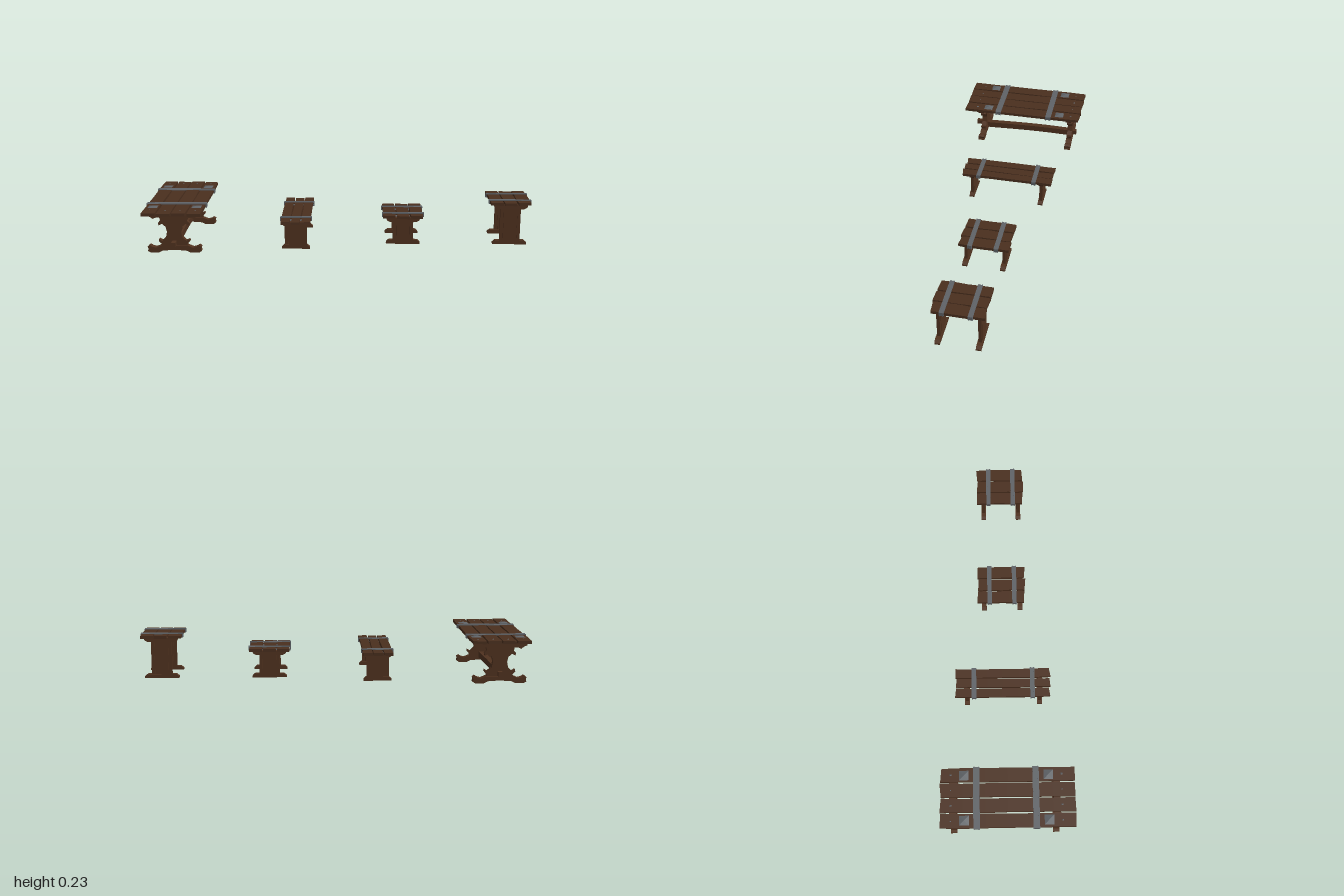
import * as THREE from 'three';

const mat = (name, color) => Object.assign(new THREE.MeshStandardMaterial({ color, flatShading: true }), { name });

export function createModel() {
  const wood = mat('dark wood', 0x4a2f1e);
  const legWood = mat('leg wood', 0x50321f);
  const iron = mat('iron', 0x5f6367);
  const root = new THREE.Group();
  root.name = 'furnitureSet';

  let seed = 7;
  const rand = () => (seed = (seed * 16807) % 2147483647) / 2147483647;

  function add(parent, name, geometry, material, x = 0, y = 0, z = 0) {
    const mesh = new THREE.Mesh(geometry, material);
    mesh.name = name;
    mesh.position.set(x, y, z);
    parent.add(mesh);
    return mesh;
  }

  // Extrude a right-hand half outline, mirrored in x, centred on z
  function mirrored(half, depth) {
    const pts = [...half, ...half.slice().reverse().map(([x, y]) => [-x, y])];
    const shape = new THREE.Shape(pts.map(([x, y]) => new THREE.Vector2(x, y)));
    return new THREE.ExtrudeGeometry(shape, { depth, bevelEnabled: false }).translate(0, 0, -depth / 2);
  }

  // Hand-hewn board: uneven side edges and slanted ends
  function plank(width, height, length, wobble) {
    const n = 6;
    const g = new THREE.BoxGeometry(width, height, length, 1, 1, n);
    const left = [], right = [];
    for (let i = 0; i <= n; i++) {
      left.push(rand() * wobble);
      right.push(rand() * wobble);
    }
    const skew = [(rand() - 0.5) * 0.008, (rand() - 0.5) * 0.008];
    const p = g.attributes.position;
    for (let i = 0; i < p.count; i++) {
      const x = p.getX(i), z = p.getZ(i);
      const k = Math.round((z / length + 0.5) * n);
      p.setX(i, x < 0 ? x + left[k] : x - right[k]);
      if (k === 0 || k === n) p.setZ(i, z + Math.sign(x) * skew[k ? 1 : 0]);
    }
    g.computeVertexNormals();
    return g;
  }

  // Row of boards between two x limits
  function boards(parent, count, width, y0, y1, z0, z1) {
    const w = width / count;
    for (let i = 0; i < count; i++) {
      const trimA = i % 2 ? rand() * 0.008 : 0, trimB = i % 2 ? 0 : rand() * 0.006;
      const a = z0 + trimA, b = z1 - trimB;
      add(parent, 'topPlank', plank(w - 0.003, y1 - y0, b - a, 0.004), wood,
        -width / 2 + w * (i + 0.5), (y0 + y1) / 2 - (i % 2) * 0.001, (a + b) / 2);
    }
  }

  // Iron band that wraps round the boards, with a raised rim on each edge
  function band(parent, width, y0, y1, z, wide) {
    const ring = (t, depth, dz, name) => {
      const outer = new THREE.Shape();
      const rect = (path, w, a, b) => path.moveTo(-w, a).lineTo(w, a).lineTo(w, b).lineTo(-w, b).closePath();
      rect(outer, width / 2 + t - 0.002, y0 - t, y1 + t);
      const hole = new THREE.Path();
      rect(hole, width / 2 - 0.003, y0 + 0.001, y1 - 0.001);
      outer.holes.push(hole);
      add(parent, name, new THREE.ExtrudeGeometry(outer, { depth, bevelEnabled: false }), iron, 0, 0, z + dz - depth / 2);
    };
    ring(0.002, wide, 0, 'ironBand');
    for (const s of [-1, 1]) ring(0.0035, 0.004, s * (wide / 2 - 0.004), 'ironBandRim');
  }

  // Table with carved trestles
  const table = new THREE.Group();
  table.name = 'table';
  table.position.x = -0.845;
  root.add(table);
  boards(table, 4, 0.304, 0.212, 0.227, -0.335, 0.335);
  band(table, 0.308, 0.212, 0.227, 0.14, 0.032);
  band(table, 0.308, 0.212, 0.227, -0.155, 0.032);

  const foot = [[0, 0.014], [0.06, 0.01], [0.08, 0], [0.125, 0], [0.138, 0.008], [0.134, 0.02],
    [0.138, 0.03], [0.126, 0.038], [0.114, 0.03], [0.095, 0.025], [0.07, 0.036], [0, 0.036]];
  const column = [[0.07, 0.03], [0.066, 0.046], [0.08, 0.06], [0.078, 0.07], [0.062, 0.061], [0.042, 0.08],
    [0.036, 0.11], [0.042, 0.136], [0.06, 0.152], [0.078, 0.143], [0.08, 0.156], [0.068, 0.168], [0.074, 0.19]];
  const cap = [[0.09, 0.185], [0.105, 0.178], [0.118, 0.188], [0.135, 0.196], [0.138, 0.212]];
  for (const z of [0.2455, -0.274]) {
    const trestle = new THREE.Group();
    trestle.name = 'tableTrestle';
    trestle.position.z = z;
    table.add(trestle);
    add(trestle, 'tableFoot', mirrored(foot, 0.033), legWood);
    add(trestle, 'tableColumn', mirrored(column, 0.027), legWood);
    add(trestle, 'tableCap', mirrored(cap, 0.033), legWood);
  }

  // Slightly bent stretcher with tenons through the trestles
  const beam = new THREE.BoxGeometry(0.03, 0.033, 0.5, 1, 1, 8);
  const bp = beam.attributes.position;
  for (let i = 0; i < bp.count; i++) {
    const z = bp.getZ(i);
    bp.setY(i, bp.getY(i) + 0.005 * Math.cos((z + 0.09) * 7));
  }
  beam.computeVertexNormals();
  add(table, 'stretcher', beam, legWood, 0, 0.045, -0.008);
  add(table, 'stretcherTenon', new THREE.BoxGeometry(0.022, 0.024, 0.07), legWood, 0, 0.05, 0.263);
  add(table, 'stretcherTenon', new THREE.BoxGeometry(0.022, 0.024, 0.07), legWood, 0, 0.05, -0.275);

  // Corner studs and nails
  const pyramid = (size, h) => new THREE.ConeGeometry(size * Math.SQRT1_2, h, 4).rotateY(Math.PI / 4).translate(0, h / 2, 0);
  for (const z of [0.203, -0.217]) {
    for (const x of [-0.112, 0.112]) {
      add(table, 'cornerStud', pyramid(0.048, 0.007), iron, x, 0.227, z);
    }
    for (const x of [-0.115, -0.038, 0.038, 0.115]) {
      add(table, 'nail', pyramid(0.009, 0.003), iron, x, 0.2262, z + Math.sign(z) * 0.066);
    }
  }

  // Bench and stools share one plain construction
  function seat({ name, x, width, height, z0, z1, legs, bands, colWidth, footWidth }) {
    const g = new THREE.Group();
    g.name = name;
    g.position.x = x;
    root.add(g);
    const y0 = height - 0.015, f = footWidth / 2;
    boards(g, 3, width - 0.006, y0, height, z0, z1);
    for (const z of bands) band(g, width - 0.002, y0, height, z, 0.024);
    for (const z of legs) {
      const leg = new THREE.Group();
      leg.name = name + 'Leg';
      leg.position.z = z;
      g.add(leg);
      add(leg, 'foot', mirrored([[f, 0], [f, 0.008], [f - 0.014, 0.02]], 0.026), legWood);
      add(leg, 'cap', mirrored([[f - 0.02, y0 - 0.021], [f - 0.004, y0 - 0.012], [f, y0 + 0.001]], 0.026), legWood);
      const h = y0 - 0.03, y = 0.015 + h / 2;
      add(leg, 'centreBoard', new THREE.BoxGeometry(colWidth - 0.036, h, 0.019), legWood, 0, y);
      for (const s of [-1, 1]) {
        add(leg, 'sideBoard', new THREE.BoxGeometry(0.017, h, 0.016), legWood, s * (colWidth / 2 - 0.0085), y);
      }
    }
  }

  seat({ name: 'bench', x: -0.2285, width: 0.165, height: 0.155, z0: -0.263, z1: 0.23,
    legs: [0.178, -0.206], bands: [0.138, -0.167], colWidth: 0.115, footWidth: 0.145 });
  const stool = { width: 0.22, z0: -0.145, z1: 0.111, legs: [0.085, -0.112],
    bands: [0.053, -0.081], colWidth: 0.106, footWidth: 0.178 };
  seat({ ...stool, name: 'lowStool', x: 0.33, height: 0.155 });
  seat({ ...stool, name: 'tallStool', x: 0.89, height: 0.227 });

  return root;
}
